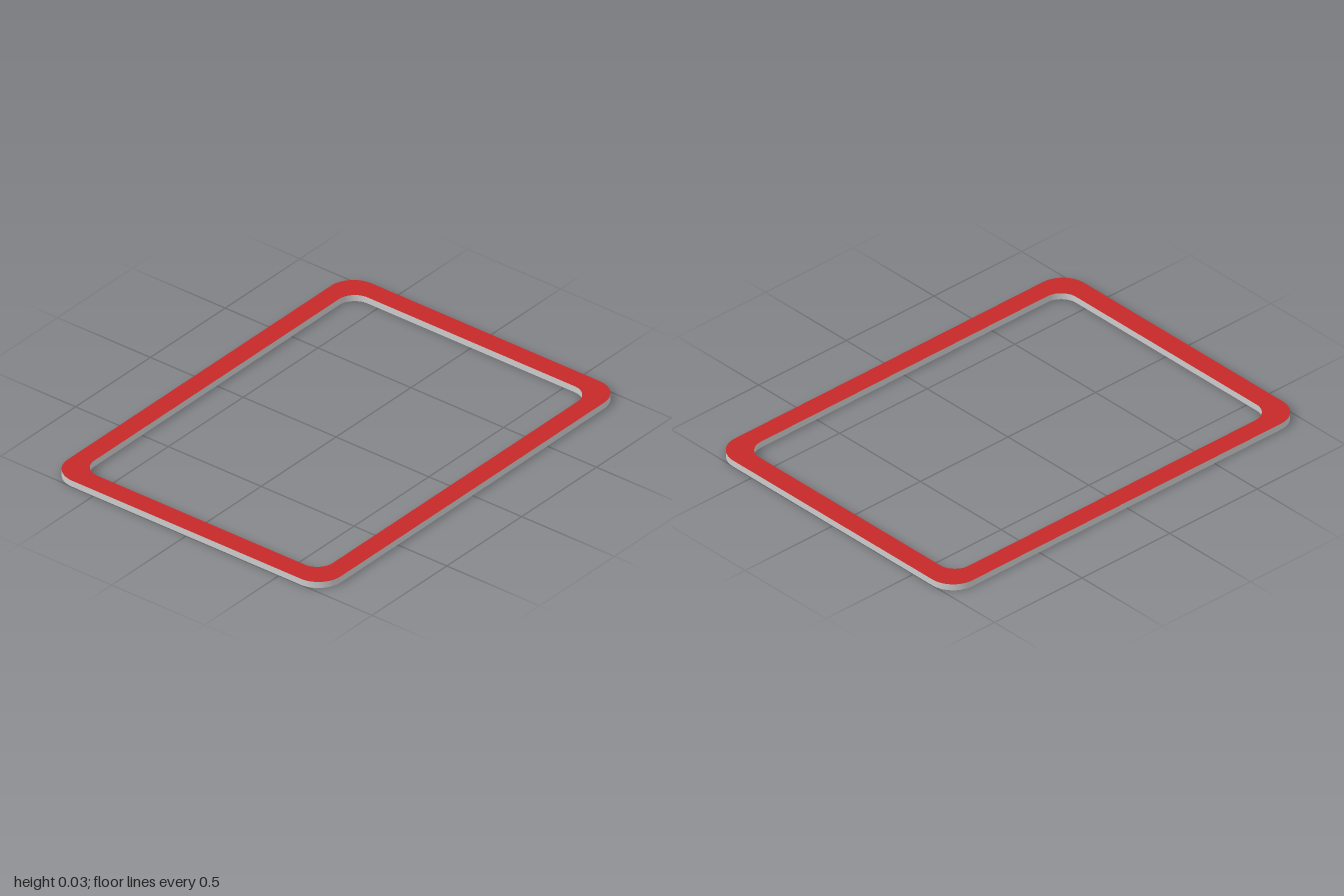
import * as THREE from 'three';
import { toCreasedNormals } from 'three/addons/utils/BufferGeometryUtils.js';

const THICKNESS = 0.03;

// Traces a rounded rectangle from its half width, half length and corner radius
function roundedRect(path, w, l, r) {
  path.moveTo(w, -l + r);
  path.lineTo(w, l - r);
  path.absarc(w - r, l - r, r, 0, Math.PI / 2);
  path.lineTo(-w + r, l);
  path.absarc(-w + r, l - r, r, Math.PI / 2, Math.PI);
  path.lineTo(-w, -l + r);
  path.absarc(-w + r, -l + r, r, Math.PI, Math.PI * 1.5);
  path.lineTo(w - r, -l);
  path.absarc(w - r, -l + r, r, Math.PI * 1.5, Math.PI * 2);
  return path;
}

export function createModel() {
  const group = new THREE.Group();
  group.name = 'roundedFrame';

  // Flat outline with an open middle
  const outline = roundedRect(new THREE.Shape(), 0.735, 1, 0.12);
  outline.holes.push(roundedRect(new THREE.Path(), 0.643, 0.903, 0.085));

  const extruded = new THREE.ExtrudeGeometry(outline, {
    depth: THICKNESS, bevelEnabled: false, curveSegments: 12,
  });
  extruded.rotateX(-Math.PI / 2);
  const geometry = toCreasedNormals(extruded, Math.PI / 6);

  // Red top and bottom faces, grey rims
  const faceMaterial = new THREE.MeshStandardMaterial({ color: 0xc62828 });
  const rimMaterial = new THREE.MeshStandardMaterial({ color: 0xcccccc });
  const frame = new THREE.Mesh(geometry, [faceMaterial, rimMaterial]);
  frame.name = 'frame';
  group.add(frame);
  return group;
}
